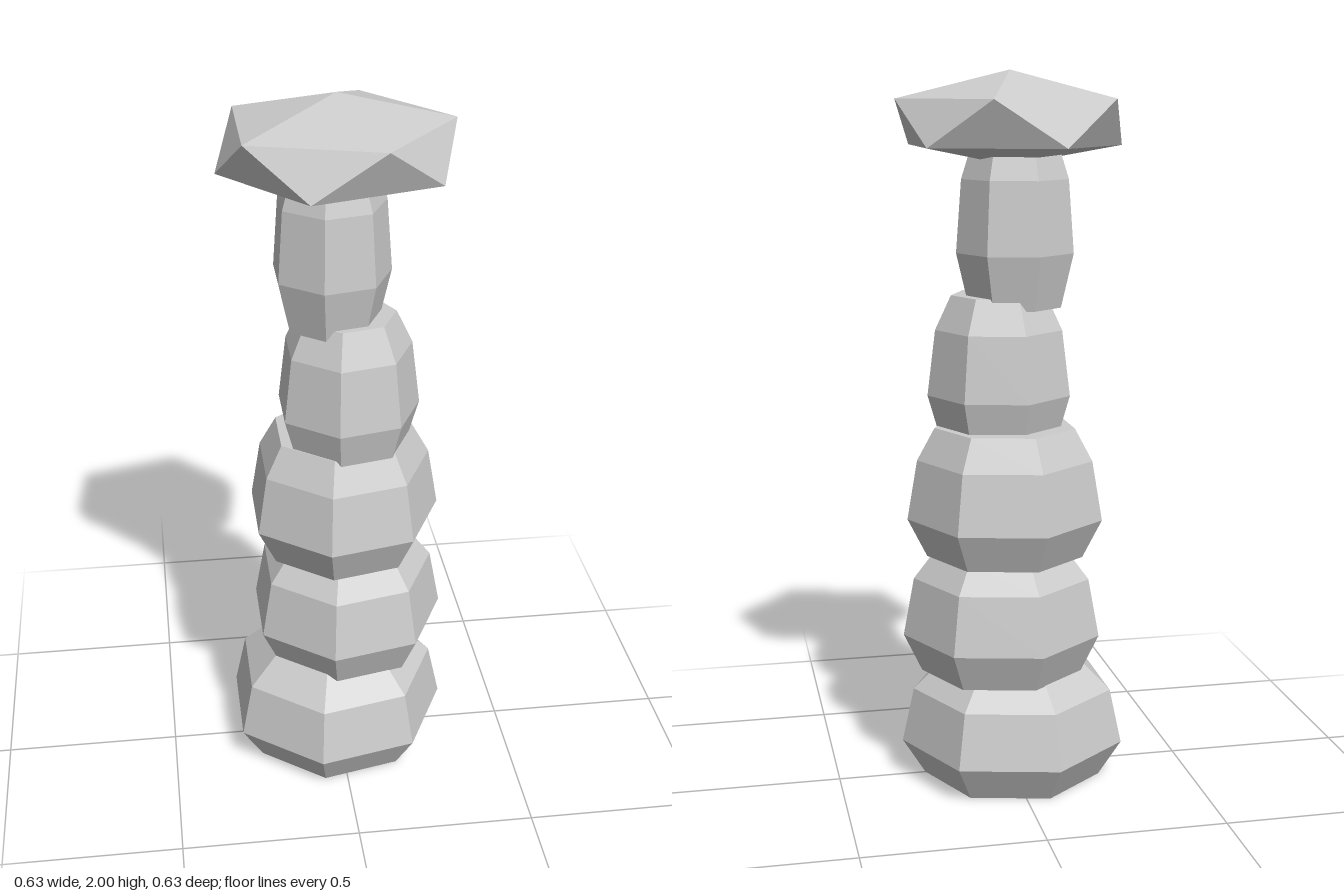
import * as THREE from 'three';
import { ConvexGeometry } from 'three/addons/geometries/ConvexGeometry.js';

export function createModel() {
  const group = new THREE.Group();
  const stone = new THREE.MeshStandardMaterial({ color: 0xcccccc, flatShading: true });
  stone.name = 'pale grey';

  const add = (name, geometry, x, z) => {
    const mesh = new THREE.Mesh(geometry, stone);
    mesh.name = name;
    mesh.position.set(x, 0, z);
    group.add(mesh);
  };

  // Seven-sided barrel with closed ends; rings are [radius, height]
  const barrel = (rings) => {
    const profile = [[0, rings[0][1]], ...rings, [0, rings[rings.length - 1][1]]];
    const points = profile.map(([r, y]) => new THREE.Vector2(r, y));
    return new THREE.LatheGeometry(points, 7, Math.PI / 2).toNonIndexed();
  };

  // Trunk: five stacked barrels, each a little off centre
  const segments = [
    { x: -0.008, z: 0, rings: [[0.258, 0], [0.323, 0.105], [0.289, 0.26], [0.205, 0.34]] },
    { x: 0.026, z: -0.015, rings: [[0.232, 0.32], [0.284, 0.43], [0.253, 0.595], [0.19, 0.675]] },
    { x: 0.017, z: -0.022, rings: [[0.224, 0.66], [0.279, 0.77], [0.25, 0.938], [0.2, 1.028]] },
    { x: 0.028, z: 0.008, rings: [[0.17, 1.0], [0.203, 1.115], [0.18, 1.298], [0.135, 1.393]] },
    { x: -0.015, z: -0.005, rings: [[0.13, 1.36], [0.165, 1.51], [0.15, 1.71], [0.115, 1.82]] },
  ];
  segments.forEach((s, i) => add(`trunkSegment${i + 1}`, barrel(s.rings), s.x, s.z));

  // Crown: flattened twenty-sided gem with two staggered rings of five
  const crown = [new THREE.Vector3(0, 2, 0), new THREE.Vector3(0, 1.745, 0)];
  for (let i = 0; i < 5; i++) {
    const a = (i / 5) * Math.PI * 2;
    const x = Math.cos(a) * 0.315, z = Math.sin(a) * 0.287;
    crown.push(new THREE.Vector3(x, 1.924, z), new THREE.Vector3(-x, 1.798, -z));
  }
  add('crown', new ConvexGeometry(crown), -0.002, 0.002);

  return group;
}
